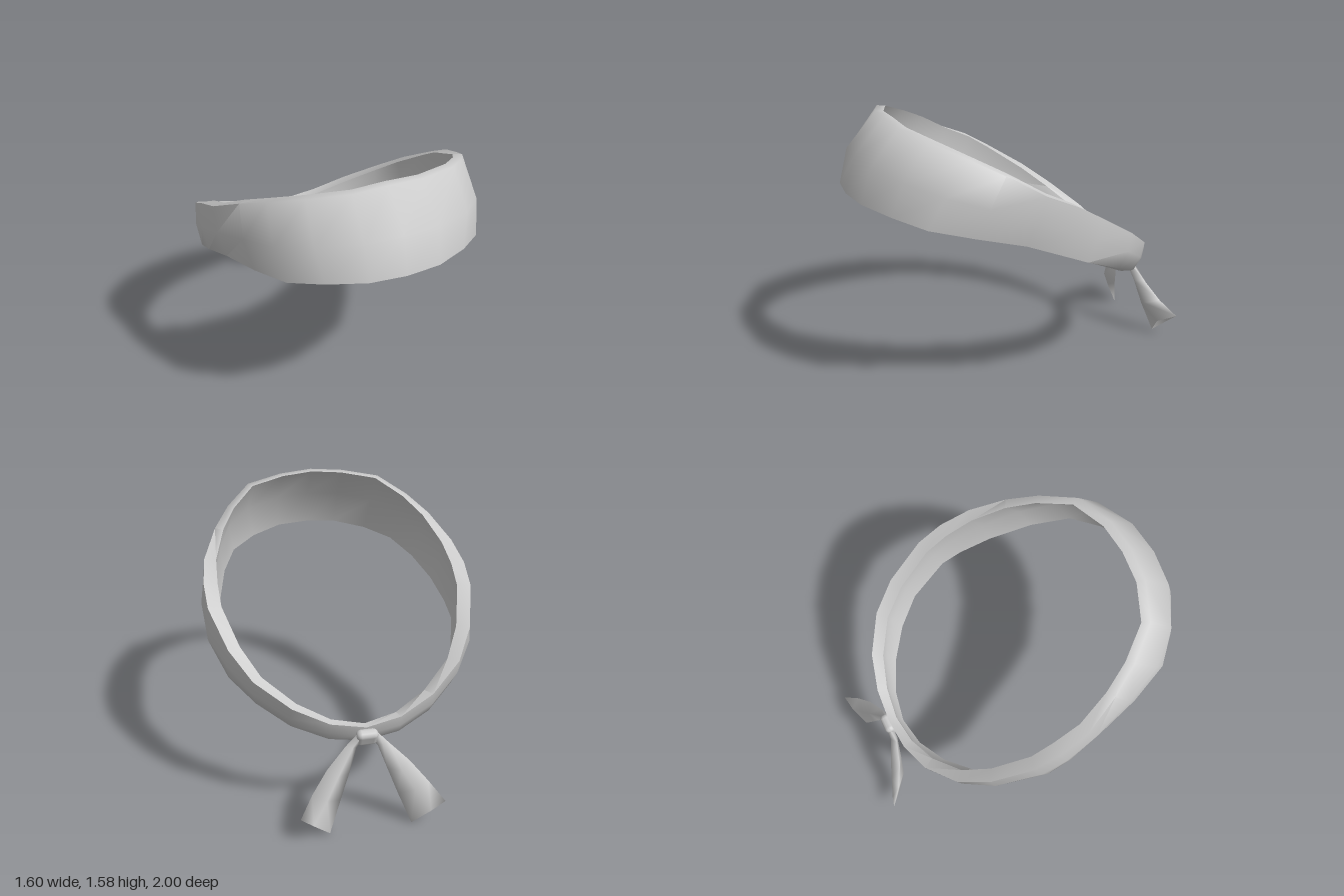
import * as THREE from 'three';
import { toCreasedNormals } from 'three/addons/utils/BufferGeometryUtils.js';
import { RoundedBoxGeometry } from 'three/addons/geometries/RoundedBoxGeometry.js';

const V = (x, y, z) => new THREE.Vector3(x, y, z);
const material = new THREE.MeshStandardMaterial({ color: 0xcccccc, side: THREE.DoubleSide });

// Skin a list of closed cross-sections; optionally join the last to the first.
function loft(sections, closed) {
  const n = sections[0].length, count = sections.length;
  const index = [];
  for (let i = 0; i < (closed ? count : count - 1); i++) {
    for (let j = 0; j < n; j++) {
      const k = (i + 1) % count, m = (j + 1) % n;
      const a = i * n + j, b = k * n + j, c = k * n + m, d = i * n + m;
      index.push(a, b, c, a, c, d);
    }
  }
  const geometry = new THREE.BufferGeometry().setFromPoints(sections.flat());
  geometry.setIndex(index);
  geometry.computeVertexNormals();
  return geometry;
}

function addMesh(group, name, geometry) {
  const mesh = new THREE.Mesh(geometry, material);
  mesh.name = name;
  group.add(mesh);
  return mesh;
}

// Half of the band, front to back:
// [lower edge x, y, z], [upper edge x, y, z], outward bulge, thickness
const stations = [
  [[0, 1.18, 1.0], [0, 1.587, 0.76], 0.06, 0.05],
  [[0.2, 1.175, 0.975], [0.2, 1.572, 0.745], 0.06, 0.05],
  [[0.4, 1.15, 0.87], [0.42, 1.545, 0.66], 0.055, 0.05],
  [[0.56, 1.11, 0.73], [0.57, 1.465, 0.49], 0.045, 0.05],
  [[0.66, 1.06, 0.5], [0.67, 1.385, 0.33], 0.03, 0.055],
  [[0.735, 1.0, 0.24], [0.76, 1.27, 0.13], 0.02, 0.07],
  [[0.78, 0.92, 0.03], [0.785, 1.19, -0.05], 0.02, 0.08],
  [[0.785, 0.86, -0.11], [0.78, 1.1, -0.2], 0.015, 0.08],
  [[0.7, 0.74, -0.37], [0.7, 0.945, -0.44], 0.015, 0.08],
  [[0.57, 0.645, -0.53], [0.59, 0.82, -0.6], 0.015, 0.075],
  [[0.4, 0.555, -0.66], [0.4, 0.7, -0.73], 0.015, 0.07],
  [[0.2, 0.495, -0.745], [0.2, 0.615, -0.79], 0.012, 0.06],
  [[0, 0.475, -0.77], [0, 0.58, -0.805], 0.01, 0.05],
];

// Cross-section: curved outer face, then the inner face offset inward
function bandSection([lower, upper, bulge, thick]) {
  const low = V(...lower), top = V(...upper);
  const mid = low.clone().lerp(top, 0.5);
  const out = V(mid.x, 0, mid.z).normalize();
  mid.addScaledVector(out, bulge);
  const inset = (p, dy) => p.clone().addScaledVector(out, -thick).add(V(0, dy, 0));
  return [low, mid, top, inset(top, -0.003), inset(mid, 0), inset(low, -0.012)];
}

function makeBand() {
  const half = stations.map(bandSection);
  const mirrored = half.slice(1, -1).reverse()
    .map(section => section.map(p => V(-p.x, p.y, p.z)));
  return toCreasedNormals(loft([...half, ...mirrored], true), 1.25);
}

// Flattened hollow tail: outer edge, back ridge, inner edge, front ridge
function makeTail() {
  return loft([
    [V(0.06, 0.55, -0.82), V(0.04, 0.54, -0.84), V(0.02, 0.52, -0.82), V(0.04, 0.53, -0.8)],
    [V(0.12, 0.48, -0.815), V(0.085, 0.48, -0.84), V(0.06, 0.47, -0.82), V(0.09, 0.475, -0.8)],
    [V(0.235, 0.37, -0.86), V(0.18, 0.34, -0.9), V(0.11, 0.33, -0.86), V(0.17, 0.35, -0.825)],
    [V(0.33, 0.26, -0.92), V(0.25, 0.22, -0.94), V(0.165, 0.18, -0.89), V(0.25, 0.22, -0.855)],
    [V(0.41, 0.165, -1.0), V(0.335, 0.1, -0.985), V(0.235, 0.003, -0.94), V(0.31, 0.1, -0.925)],
  ], false);
}

export function createModel() {
  const group = new THREE.Group();
  group.name = 'knottedHeadband';

  addMesh(group, 'band', makeBand());

  // Knot at the back, tilted with the band
  const knot = addMesh(group, 'knot', new RoundedBoxGeometry(0.125, 0.1, 0.065, 2, 0.03));
  knot.position.set(0, 0.523, -0.81);
  knot.rotation.x = -0.4;

  // Mirrored pair of loose tails
  const tail = makeTail();
  addMesh(group, 'leftTail', tail);
  addMesh(group, 'rightTail', tail).scale.x = -1;

  return group;
}
